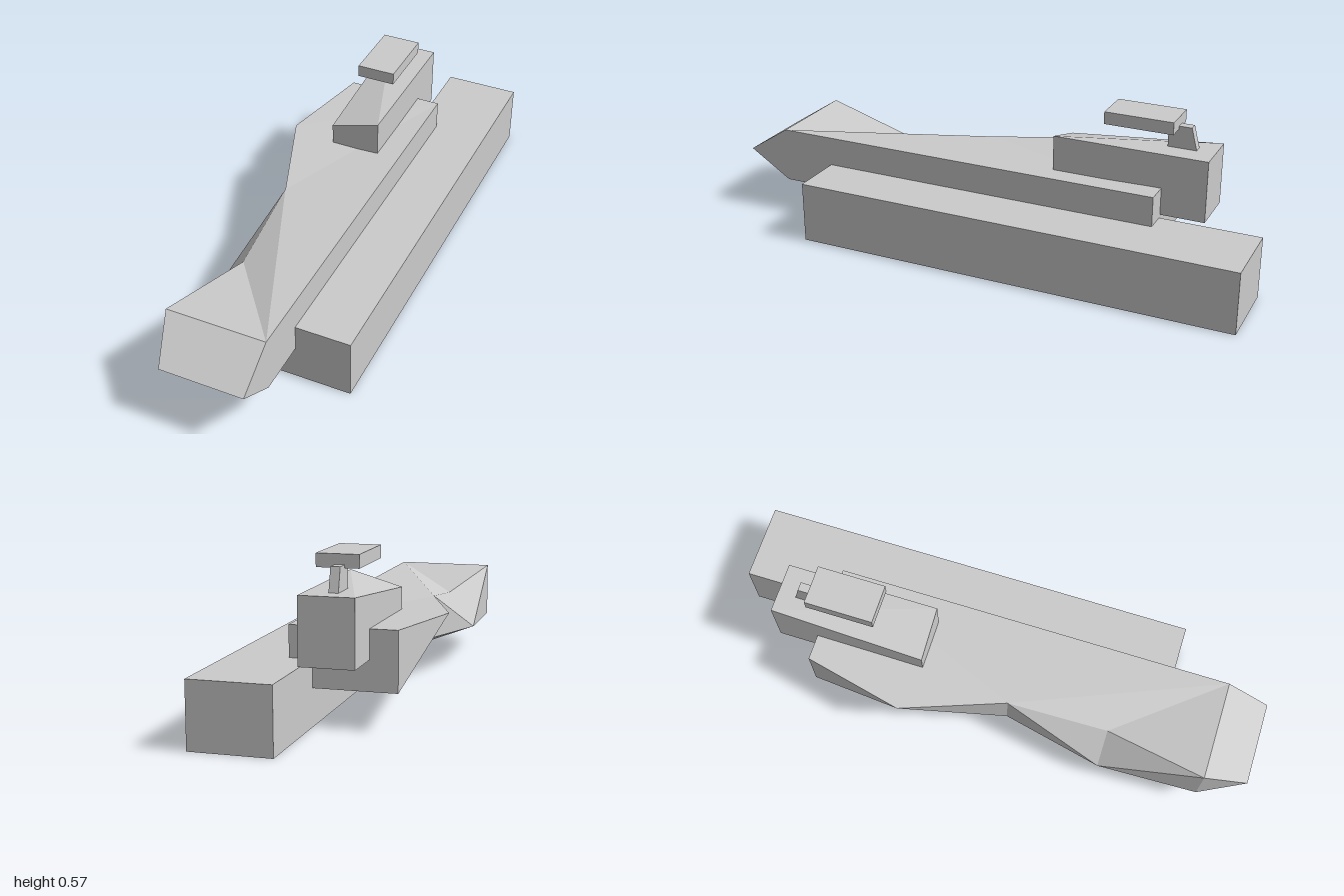
import * as THREE from 'three';

const material = new THREE.MeshStandardMaterial({ color: 0xcccccc, flatShading: true });

function add(group, name, geometry) {
  const mesh = new THREE.Mesh(geometry, material);
  mesh.name = name;
  group.add(mesh);
}

// Faceted solid: named corners, and outward faces fanned from their first corner
function solid(corners, faces) {
  const pos = [];
  for (const face of faces) {
    const f = face.split(' ');
    for (let i = 1; i < f.length - 1; i++) {
      pos.push(...corners[f[0]], ...corners[f[i]], ...corners[f[i + 1]]);
    }
  }
  const g = new THREE.BufferGeometry();
  g.setAttribute('position', new THREE.Float32BufferAttribute(pos, 3));
  g.computeVertexNormals();
  return g;
}

// Box given by its limits on each axis
function block(x0, x1, y0, y1, z0, z1) {
  return new THREE.BoxGeometry(x1 - x0, y1 - y0, z1 - z0)
    .translate((x0 + x1) / 2, (y0 + y1) / 2, (z0 + z1) / 2);
}

export function createModel() {
  const model = new THREE.Group();
  model.name = 'ship';

  // Long lower block
  add(model, 'lowerBlock', block(0.042, 0.323, 0, 0.226, -1, 0.642));

  // Hull: straight inner side, pinched outer side and wedge nose
  const top = 0.335, low = 0.13, inner = 0.121, outer = -0.244, back = -0.635, front = 0.84;
  add(model, 'hull', solid({
    backTopIn: [inner, top, back], backLowIn: [inner, low, back],
    backTopOut: [outer, top, back], backLowOut: [outer, low, back],
    frontTopIn: [inner, top, front], frontLowIn: [inner, low, front],
    frontTopOut: [outer, top, front], frontLowOut: [outer, low, front],
    noseIn: [inner, 0.232, 1], noseOut: [-0.186, 0.232, 1],
    wing: [-0.325, 0.33, -0.27],
    waistTop: [-0.185, 0.322, 0.1], waistLow: [-0.185, 0.165, 0.1],
    cheekTop: [-0.162, 0.275, 0.47], cheekLow: [-0.26, 0.142, 0.47],
  }, [
    // deck
    'backTopIn backTopOut wing waistTop frontTopIn',
    'waistTop cheekTop frontTopIn',
    'cheekTop frontTopOut frontTopIn',
    // underside, stern and inner side
    'backLowIn frontLowIn frontLowOut cheekLow waistLow backLowOut',
    'backTopIn backLowIn backLowOut backTopOut',
    'frontTopIn noseIn frontLowIn backLowIn backTopIn',
    // nose
    'frontTopOut noseOut noseIn frontTopIn',
    'noseOut frontLowOut frontLowIn noseIn',
    'frontTopOut frontLowOut noseOut',
    // outer side
    'backTopOut backLowOut wing',
    'wing backLowOut waistLow',
    'wing waistLow waistTop',
    'waistTop waistLow cheekLow',
    'waistTop cheekLow cheekTop',
    'cheekTop cheekLow frontTopOut',
    'frontTopOut cheekLow frontLowOut',
  ]));

  // Tower with one lowered front corner
  const x0 = -0.15, x1 = 0.035, y0 = 0.235, y1 = 0.46, z0 = -0.795, z1 = -0.232;
  add(model, 'tower', solid({
    a: [x0, y0, z0], b: [x1, y0, z0], c: [x1, y0, z1], d: [x0, y0, z1],
    e: [x0, y1, z0], f: [x1, y1, z0], g: [x1, y1, z1], h: [x0, 0.406, z1],
  }, ['g f e h', 'a b c d', 'd c g h', 'b a e f', 'c b f g', 'a d h e']));

  // Stem with a sloping back
  const stem = block(-0.077, -0.045, 0.455, 0.54, -0.73, -0.625);
  const p = stem.attributes.position;
  for (let i = 0; i < p.count; i++) {
    if (p.getY(i) > 0.5 && p.getZ(i) < -0.7) p.setZ(i, -0.708);
  }
  stem.computeVertexNormals();
  add(model, 'stem', stem);

  // Roof plate
  add(model, 'roofPlate', block(-0.125, 0.018, 0.529, 0.574, -0.662, -0.412));

  return model;
}
